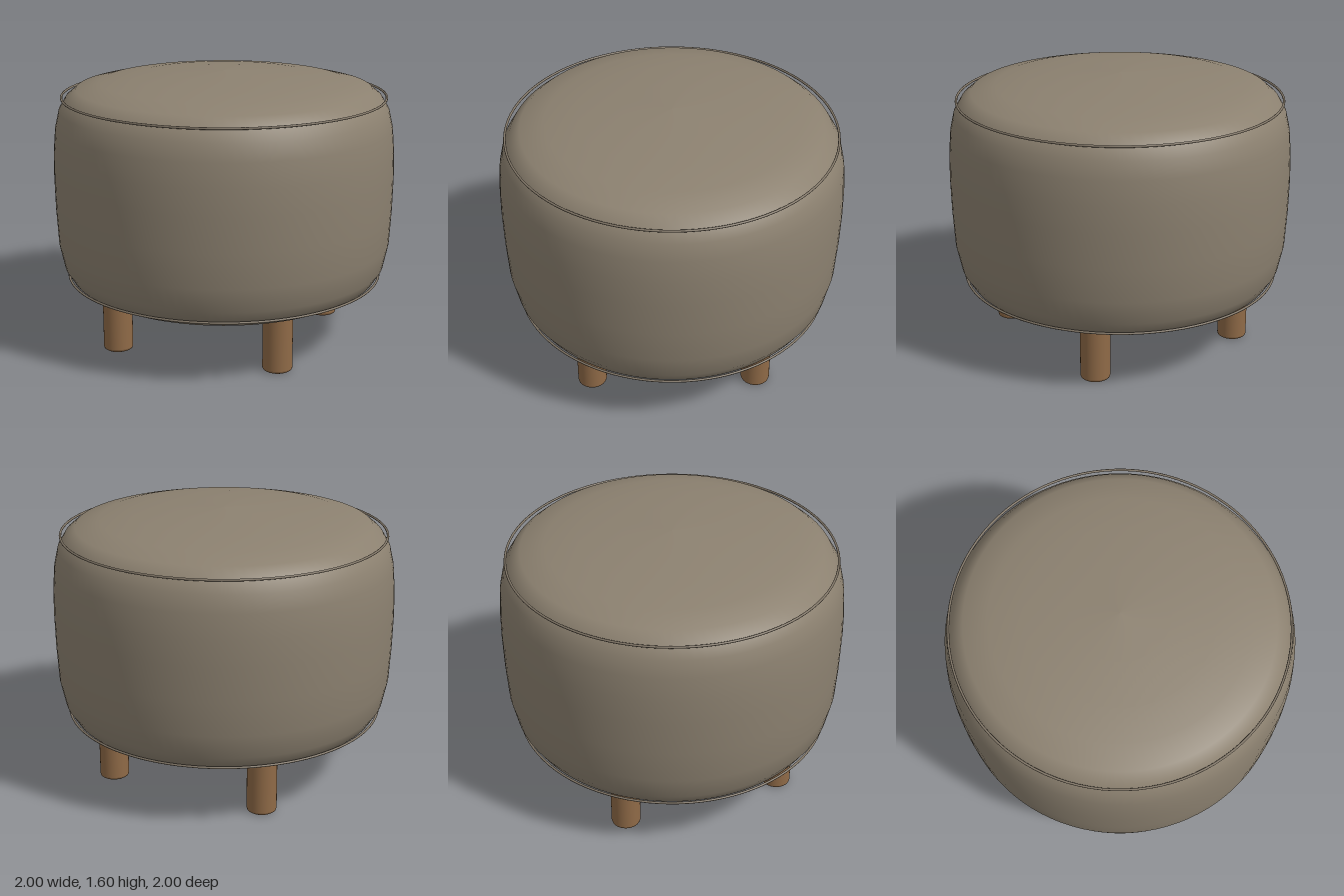
import * as THREE from 'three';

const lathe = (points, segments) =>
  new THREE.LatheGeometry(points.map(([r, y]) => new THREE.Vector2(r, y)), segments);

export function createModel() {
  const fabric = new THREE.MeshStandardMaterial({ name: 'taupe fabric', color: 0x8c8170 });
  const trim = new THREE.MeshStandardMaterial({ name: 'taupe piping', color: 0x7f7465 });
  const wood = new THREE.MeshStandardMaterial({ name: 'brown wood', color: 0x8f6a47 });
  const group = new THREE.Group();
  group.name = 'roundPouf';

  const add = (name, geometry, material, x = 0, y = 0, z = 0) => {
    const mesh = new THREE.Mesh(geometry, material);
    mesh.name = name;
    mesh.position.set(x, y, z);
    group.add(mesh);
    return mesh;
  };

  // Plump upholstered drum with a gently domed top
  add('cushion', lathe([
    [0, 0.305], [0.4, 0.306], [0.68, 0.314], [0.83, 0.34], [0.91, 0.387],
    [0.955, 0.46], [0.985, 0.6], [0.996, 0.8], [1, 1], [0.997, 1.15],
    [0.985, 1.29], [0.962, 1.39], [0.92, 1.46], [0.86, 1.51], [0.72, 1.545],
    [0.53, 1.571], [0.28, 1.592], [0, 1.604],
  ], 96), fabric);

  // Thin piping standing just proud of the upper and lower seams
  for (const [name, radius, y] of [['topPiping', 0.945, 1.463], ['bottomPiping', 0.93, 0.393]]) {
    add(name, new THREE.TorusGeometry(radius, 0.007, 8, 96), trim, 0, y).rotation.x = Math.PI / 2;
  }

  // Four short round legs with softened feet
  const leg = lathe([
    [0, 0], [0.074, 0], [0.074, 0], [0.083, 0.006], [0.086, 0.016], [0.086, 0.016],
    [0.086, 0.33], [0.086, 0.33], [0, 0.33],
  ], 32);
  for (const x of [-1, 1]) {
    for (const z of [-1, 1]) {
      const name = (z > 0 ? 'front' : 'back') + (x > 0 ? 'Left' : 'Right') + 'Leg';
      add(name, leg, wood, x * 0.49, 0, z * 0.49);
    }
  }
  return group;
}
